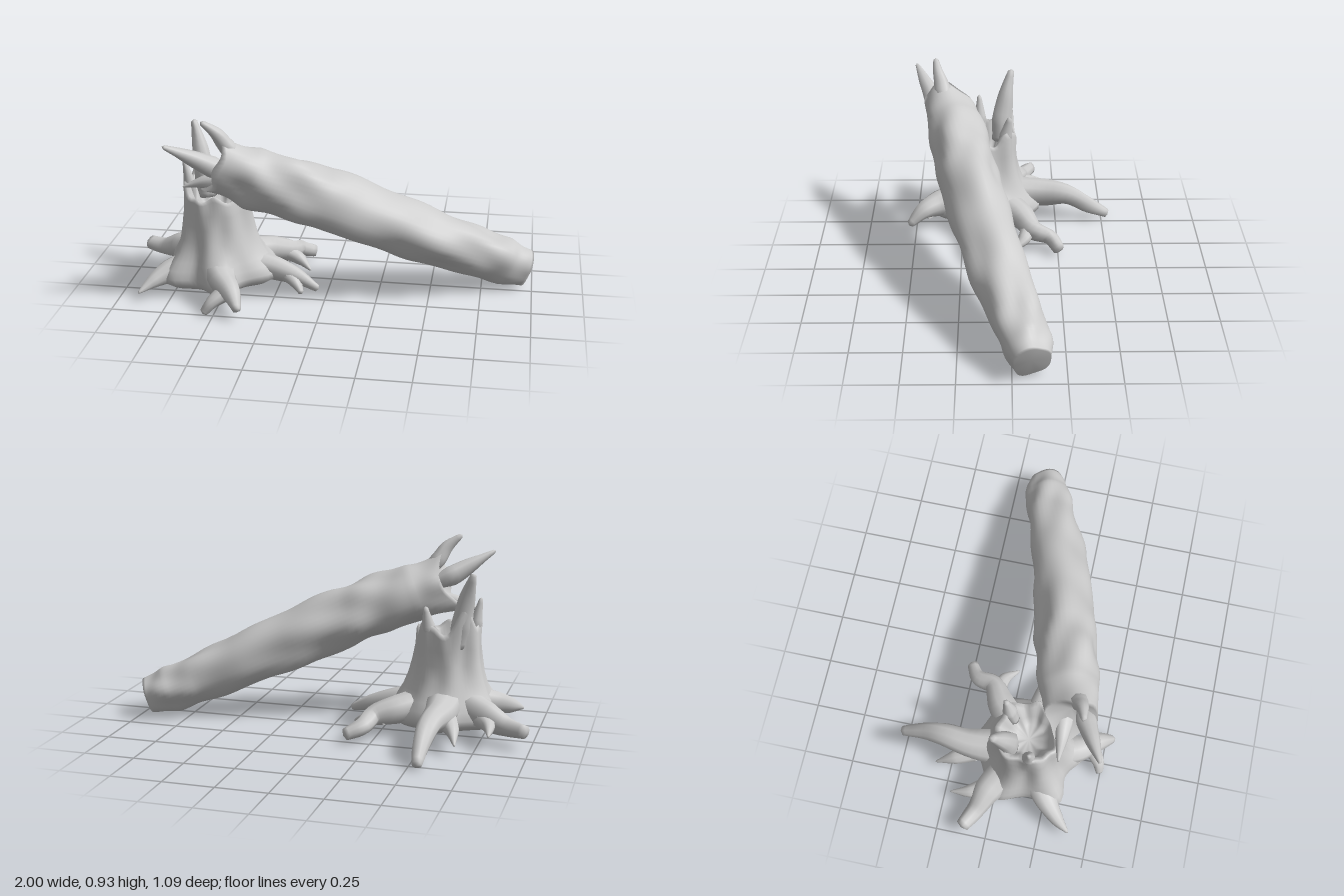
import * as THREE from 'three';

const material = new THREE.MeshStandardMaterial({ color: 0xcccccc, side: THREE.DoubleSide });

// Skins a stack of rings with smooth sides and closes both ends.
function loft(rings, startCentre, endCentre) {
  const n = rings[0].length, last = (rings.length - 1) * n;
  const points = [...rings.flat(), startCentre, endCentre];
  const s = points.length - 2, e = points.length - 1, index = [];
  for (let j = 0; j < n; j++) {
    const k = (j + 1) % n;
    for (let i = 0; i < rings.length - 1; i++) {
      const a = i * n + j, b = i * n + k;
      index.push(a, b, a + n, b, b + n, a + n);
    }
    index.push(s, k, j, e, last + j, last + k);
  }
  const geometry = new THREE.BufferGeometry().setFromPoints(points);
  geometry.setIndex(index);
  geometry.computeVertexNormals();
  return geometry;
}

// Tapered, knobbly limb through points; each entry is [x, y, z, radius].
function limb(stations, { sides = 10, steps = 14, bump = 0.05, startDent = 0, endDent = -0.01 } = {}) {
  const curve = new THREE.CatmullRomCurve3(stations.map(([x, y, z]) => new THREE.Vector3(x, y, z)));
  const length = curve.getLength();
  const dir = curve.getPoint(1).sub(curve.getPoint(0)).normalize();
  const ref = Math.abs(dir.y) < 0.75 ? new THREE.Vector3(0, 1, 0) : new THREE.Vector3(0, 0, 1);
  const rings = [];
  for (let i = 0; i <= steps; i++) {
    const t = i / steps, f = t * (stations.length - 1), s = t * length;
    const k = Math.min(Math.floor(f), stations.length - 2);
    const radius = THREE.MathUtils.lerp(stations[k][3], stations[k + 1][3], f - k);
    const c = curve.getPoint(t), T = curve.getTangent(t);
    const N = ref.clone().cross(T).normalize(), B = T.clone().cross(N);
    rings.push(Array.from({ length: sides }, (_, j) => {
      const a = (j / sides) * Math.PI * 2;
      const wave = Math.sin(3 * a + 5 * s) + 0.7 * Math.sin(5 * a - 9 * s + 1)
        + 0.6 * Math.sin(2 * a + 26 * s) + 0.6 * Math.sin(4 * a - 17 * s);
      const r = radius * (1 + bump * wave);
      return c.clone().addScaledVector(N, r * Math.cos(a)).addScaledVector(B, r * Math.sin(a));
    }));
  }
  const start = curve.getPoint(0).addScaledVector(curve.getTangent(0), startDent);
  const end = curve.getPoint(1).addScaledVector(curve.getTangent(1), -endDent);
  return loft(rings, start, end);
}

// Pulls the surface around each point outwards with a soft falloff: [from, to, falloff].
function pull(geometry, pulls) {
  const position = geometry.attributes.position, p = new THREE.Vector3();
  for (const [from, to, falloff] of pulls) {
    const base = new THREE.Vector3(...from), move = new THREE.Vector3(...to).sub(base);
    for (let i = 0; i < position.count; i++) {
      p.fromBufferAttribute(position, i);
      p.addScaledVector(move, Math.exp(-p.distanceToSquared(base) / (falloff * falloff)));
      position.setXYZ(i, p.x, p.y, p.z);
    }
  }
  geometry.computeVertexNormals();
  return geometry;
}

// Stump body: flared, lobed towards the roots, with a hollow jagged top.
function stumpGeometry() {
  const cx = -0.55, cz = 0.13, sides = 64;
  const rootDirections = [[-0.4, -0.22], [0, -0.6], [0.3, -0.24], [-0.33, 0.27], [0.1, 0.35], [0.5, 0.07]]
    .map(([x, z]) => Math.atan2(x, z));
  // height, radius, lobe reach, jaggedness of the rim
  const profile = [
    [0.075, 0.12, 0.04, 0], [0.055, 0.19, 0.1, 0], [0.08, 0.215, 0.125, 0], [0.11, 0.22, 0.125, 0], [0.15, 0.213, 0.1, 0],
    [0.19, 0.2, 0.07, 0], [0.23, 0.188, 0.045, 0], [0.29, 0.173, 0.025, 0], [0.36, 0.163, 0.015, 0], [0.43, 0.157, 0.012, 0.3],
    [0.49, 0.153, 0.01, 0.8], [0.51, 0.145, 0.008, 1], [0.5, 0.125, 0.005, 1], [0.44, 0.1, 0, 0.3], [0.4, 0.07, 0, 0],
  ];
  const rings = profile.map(([y, radius, reach, jag]) => Array.from({ length: sides }, (_, j) => {
    const a = (j / sides) * Math.PI * 2;
    const lobe = rootDirections.reduce((sum, d) => sum + Math.exp(9 * (Math.cos(a - d) - 1)), 0);
    const r = radius + reach * (lobe - 0.45) + 0.006 * Math.sin(7 * a + 8 * y) + 0.004 * Math.sin(11 * a - 15 * y);
    const h = y + jag * (0.012 * Math.sin(5 * a + 1) + 0.008 * Math.sin(9 * a));
    return new THREE.Vector3(cx + r * Math.sin(a), h, cz + r * Math.cos(a));
  }));
  return loft(rings, new THREE.Vector3(cx, 0.085, cz), new THREE.Vector3(cx, 0.39, cz));
}

export function createModel() {
  const model = new THREE.Group();
  const add = (parent, name, geometry) => {
    const mesh = new THREE.Mesh(geometry, material);
    mesh.name = name;
    parent.add(mesh);
  };
  const section = (name) => {
    const group = new THREE.Group();
    group.name = name;
    model.add(group);
    return group;
  };

  // Stump with its rim drawn up into splinters
  const stump = section('stump');
  add(stump, 'stumpBody', pull(stumpGeometry(), [
    [[-0.63, 0.52, 0.02], [-0.655, 0.66, 0.0], 0.065],
    [[-0.69, 0.51, 0.15], [-0.695, 0.57, 0.155], 0.05],
    [[-0.47, 0.51, 0.03], [-0.465, 0.58, 0.02], 0.05],
  ]));
  const rimSplinters = [
    [[-0.62, 0.45, 0.045, 0.05], [-0.63, 0.56, 0.04, 0.055], [-0.655, 0.69, 0.02, 0.04], [-0.69, 0.815, -0.012, 0.016]],
    [[-0.675, 0.45, 0.15, 0.025], [-0.68, 0.55, 0.155, 0.032], [-0.7, 0.665, 0.16, 0.01]],
    [[-0.48, 0.45, 0.04, 0.03], [-0.47, 0.54, 0.02, 0.036], [-0.46, 0.64, 0, 0.012]],
  ];
  rimSplinters.forEach((s) => add(stump, 'rimSplinter', limb(s)));

  // Roots and their side prongs
  const roots = section('roots');
  const rootPaths = {
    rightRoot: [[-0.65, 0.17, 0.05, 0.08], [-0.78, 0.135, -0.03, 0.07], [-0.88, 0.105, -0.07, 0.045], [-0.975, 0.1, -0.12, 0.034]],
    rightProng: [[-0.75, 0.12, -0.03, 0.05], [-0.8, 0.11, -0.12, 0.032], [-0.815, 0.09, -0.21, 0.006]],
    backRoot: [[-0.56, 0.17, 0.02, 0.09], [-0.57, 0.16, -0.16, 0.075], [-0.55, 0.155, -0.31, 0.055],
      [-0.54, 0.09, -0.43, 0.042], [-0.545, 0.035, -0.53, 0.024]],
    backProng: [[-0.6, 0.13, -0.14, 0.05], [-0.645, 0.11, -0.23, 0.035], [-0.675, 0.07, -0.32, 0.006]],
    leftBackRoot: [[-0.45, 0.16, 0.05, 0.08], [-0.33, 0.135, -0.06, 0.07], [-0.23, 0.11, -0.12, 0.05],
      [-0.2, 0.08, -0.21, 0.04], [-0.13, 0.05, -0.255, 0.03]],
    leftBackProng: [[-0.28, 0.115, -0.1, 0.045], [-0.18, 0.08, -0.075, 0.032], [-0.115, 0.05, -0.015, 0.006]],
    rightFrontRoot: [[-0.66, 0.15, 0.19, 0.075], [-0.77, 0.12, 0.265, 0.058], [-0.84, 0.09, 0.33, 0.036], [-0.89, 0.06, 0.395, 0.008]],
    frontRoot: [[-0.53, 0.15, 0.24, 0.08], [-0.48, 0.135, 0.37, 0.07], [-0.42, 0.12, 0.46, 0.048], [-0.375, 0.065, 0.53, 0.02]],
    frontProng: [[-0.45, 0.11, 0.43, 0.045], [-0.51, 0.07, 0.48, 0.03], [-0.545, 0.025, 0.495, 0.02]],
    leftRoot: [[-0.44, 0.15, 0.14, 0.08], [-0.3, 0.13, 0.14, 0.062], [-0.16, 0.095, 0.16, 0.042], [-0.045, 0.05, 0.2, 0.018]],
    leftProng: [[-0.22, 0.105, 0.15, 0.036], [-0.15, 0.07, 0.2, 0.028], [-0.12, 0.035, 0.23, 0.014]],
  };
  for (const [name, path] of Object.entries(rootPaths)) add(roots, name, limb(path, { steps: 18 }));

  // Fallen trunk leaning on the stump, its upper end drawn out into splinters
  const log = section('fallenTrunk');
  const trunk = limb([
    [-0.47, 0.7, 0.315, 0.115], [-0.34, 0.65, 0.28, 0.142], [-0.17, 0.588, 0.24, 0.147], [0, 0.518, 0.2, 0.15],
    [0.25, 0.408, 0.13, 0.146], [0.5, 0.298, 0.055, 0.136], [0.72, 0.203, -0.015, 0.122], [0.86, 0.143, -0.06, 0.116],
    [0.965, 0.105, -0.09, 0.09],
  ], { sides: 36, steps: 72, bump: 0.045, startDent: 0.05, endDent: 0.008 });
  add(log, 'trunk', pull(trunk, [
    [[-0.43, 0.81, 0.34], [-0.475, 0.87, 0.36], 0.07],
    [[-0.5, 0.71, 0.4], [-0.6, 0.775, 0.435], 0.075],
    [[-0.5, 0.62, 0.29], [-0.59, 0.605, 0.295], 0.065],
  ]));
  const trunkSplinters = [
    [[-0.37, 0.74, 0.32, 0.03], [-0.44, 0.81, 0.342, 0.042], [-0.485, 0.88, 0.362, 0.03], [-0.55, 0.935, 0.378, 0.013]],
    [[-0.4, 0.68, 0.36, 0.03], [-0.5, 0.725, 0.39, 0.052], [-0.6, 0.785, 0.435, 0.035], [-0.705, 0.845, 0.485, 0.01]],
    [[-0.38, 0.63, 0.28, 0.03], [-0.48, 0.622, 0.285, 0.048], [-0.57, 0.612, 0.29, 0.032], [-0.67, 0.585, 0.295, 0.006]],
  ];
  trunkSplinters.forEach((s) => add(log, 'trunkSplinter', limb(s)));

  return model;
}
